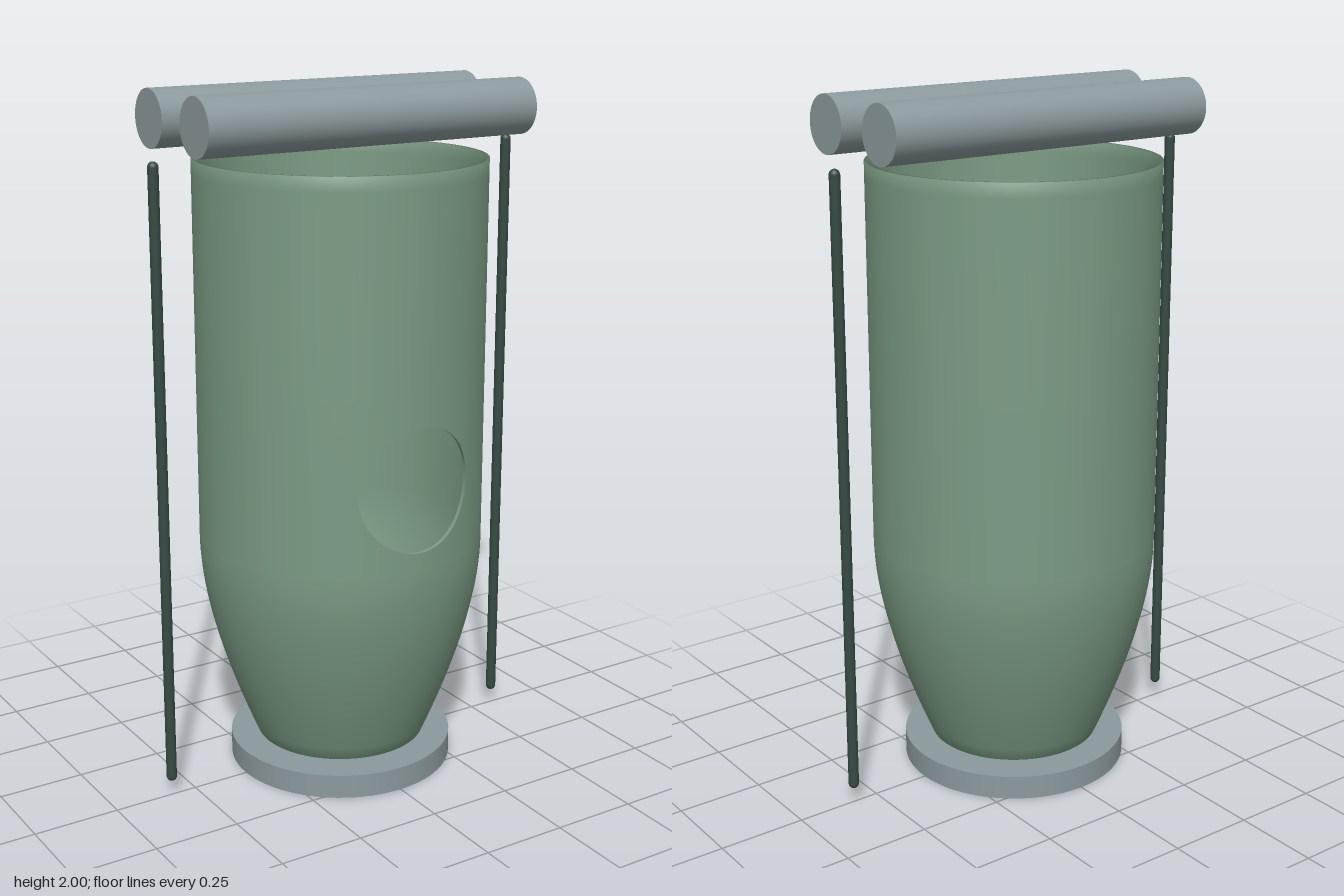
import * as THREE from 'three';
import { mergeGeometries } from 'three/addons/utils/BufferGeometryUtils.js';

const OUTER = 0.413, INNER = 0.402;             // wall radii
const BAND_LOW = 0.7, BAND_HIGH = 1.2;          // band holding the round opening
const HOLE_Y = 0.937, HOLE_R = 0.178;
const HALF = Math.PI / 4;                       // half angle of the opening's patch

const green = new THREE.MeshStandardMaterial({ color: 0x7a9a82 });
green.name = 'sage green';
const grey = new THREE.MeshStandardMaterial({ color: 0x8b999d });
grey.name = 'blue grey';
const dark = new THREE.MeshStandardMaterial({ color: 0x364a42 });
dark.name = 'dark green';

const lathe = (points, segments = 64, start = 0, length = Math.PI * 2) =>
  new THREE.LatheGeometry(points.map(([r, y]) => new THREE.Vector2(r, y)), segments, start, length);

// Curved wall patch running from a square border in to the round opening.
// kind: 1 outer face, -1 inner face, 0 the cut edge through the wall
function openingPatch(kind) {
  const sides = 64, rings = kind === 0 ? 1 : 8;
  const position = [], normal = [], uv = [], index = [];
  for (let j = 0; j <= rings; j++) {
    for (let i = 0; i <= sides; i++) {
      const k = i % sides, side = Math.floor(k / 16), u = (k % 16) / 8 - 1;
      const [sx, sy] = [[1, u], [-u, 1], [-1, -u], [u, -1]][side];
      const a = side * Math.PI / 2 + u * Math.PI / 4;
      const r = kind === 1 || (kind === 0 && j === 0) ? OUTER : INNER;
      const t = kind === 0 ? 0 : j / rings;
      const holeAngle = Math.asin(HOLE_R * Math.cos(a) / r);
      const angle = THREE.MathUtils.lerp(holeAngle, sx * HALF, t);
      const border = sy > 0
        ? THREE.MathUtils.lerp(HOLE_Y, BAND_HIGH, sy)
        : THREE.MathUtils.lerp(HOLE_Y, BAND_LOW, -sy);
      const y = THREE.MathUtils.lerp(HOLE_Y + HOLE_R * Math.sin(a), border, t);
      position.push(r * Math.sin(angle), y, r * Math.cos(angle));
      if (kind === 0) normal.push(-Math.cos(a), -Math.sin(a), 0);
      else normal.push(kind * Math.sin(angle), 0, kind * Math.cos(angle));
      uv.push(i / sides, t);
    }
  }
  for (let j = 0; j < rings; j++) {
    for (let i = 0; i < sides; i++) {
      const a = j * (sides + 1) + i, b = a + 1, c = a + sides + 1, d = c + 1;
      if (kind === 1) index.push(a, c, b, b, c, d);
      else index.push(a, b, c, b, d, c);
    }
  }
  const geometry = new THREE.BufferGeometry();
  geometry.setAttribute('position', new THREE.Float32BufferAttribute(position, 3));
  geometry.setAttribute('normal', new THREE.Float32BufferAttribute(normal, 3));
  geometry.setAttribute('uv', new THREE.Float32BufferAttribute(uv, 2));
  geometry.setIndex(index);
  return geometry;
}

// Open vessel: tapered foot, band with the opening, straight upper wall
function vesselGeometry() {
  const taper = new THREE.QuadraticBezierCurve(
    new THREE.Vector2(0.25, 0.082), new THREE.Vector2(OUTER, 0.46), new THREE.Vector2(OUTER, BAND_LOW),
  ).getPoints(18).map((p) => [p.x, p.y]);
  const wall = OUTER - INNER;
  const inside = taper.map(([r, y]) => [r - wall, y]).reverse();
  const round = Math.PI * 2 - HALF * 2;
  return mergeGeometries([
    lathe([...inside, ...taper]),
    lathe([[OUTER, BAND_LOW], [OUTER, BAND_HIGH]], 48, HALF, round),
    lathe([[INNER, BAND_HIGH], [INNER, BAND_LOW]], 48, HALF, round),
    openingPatch(1), openingPatch(-1), openingPatch(0),
    lathe([[OUTER, BAND_HIGH], [OUTER, 1.76], [OUTER, 1.8],
      [INNER, 1.8], [INNER, 1.76], [INNER, BAND_HIGH]]),
  ]);
}

export function createModel() {
  const model = new THREE.Group();
  model.name = 'vesselWithRollers';
  const add = (name, geometry, material, x, y, z) => {
    const mesh = new THREE.Mesh(geometry, material);
    mesh.name = name;
    mesh.position.set(x, y, z);
    model.add(mesh);
    return mesh;
  };

  add('vessel', vesselGeometry(), green, 0, 0, 0);
  add('baseDisc', new THREE.CylinderGeometry(0.33, 0.33, 0.07, 64), grey, 0, 0.035, 0);

  // Pair of rollers lying across the top
  const roller = new THREE.CylinderGeometry(0.08, 0.08, 1.04, 48).rotateZ(Math.PI / 2);
  add('frontRoller', roller, grey, 0, 1.92, 0.13);
  add('backRoller', roller, grey, 0, 1.92, -0.13);

  // Thin round-ended rods standing at either side
  const rod = new THREE.CapsuleGeometry(0.015, 1.75, 8, 20);
  add('leftRod', rod, dark, 0.575, 0.935, 0);
  add('rightRod', rod, dark, -0.575, 0.935, 0);
  return model;
}
